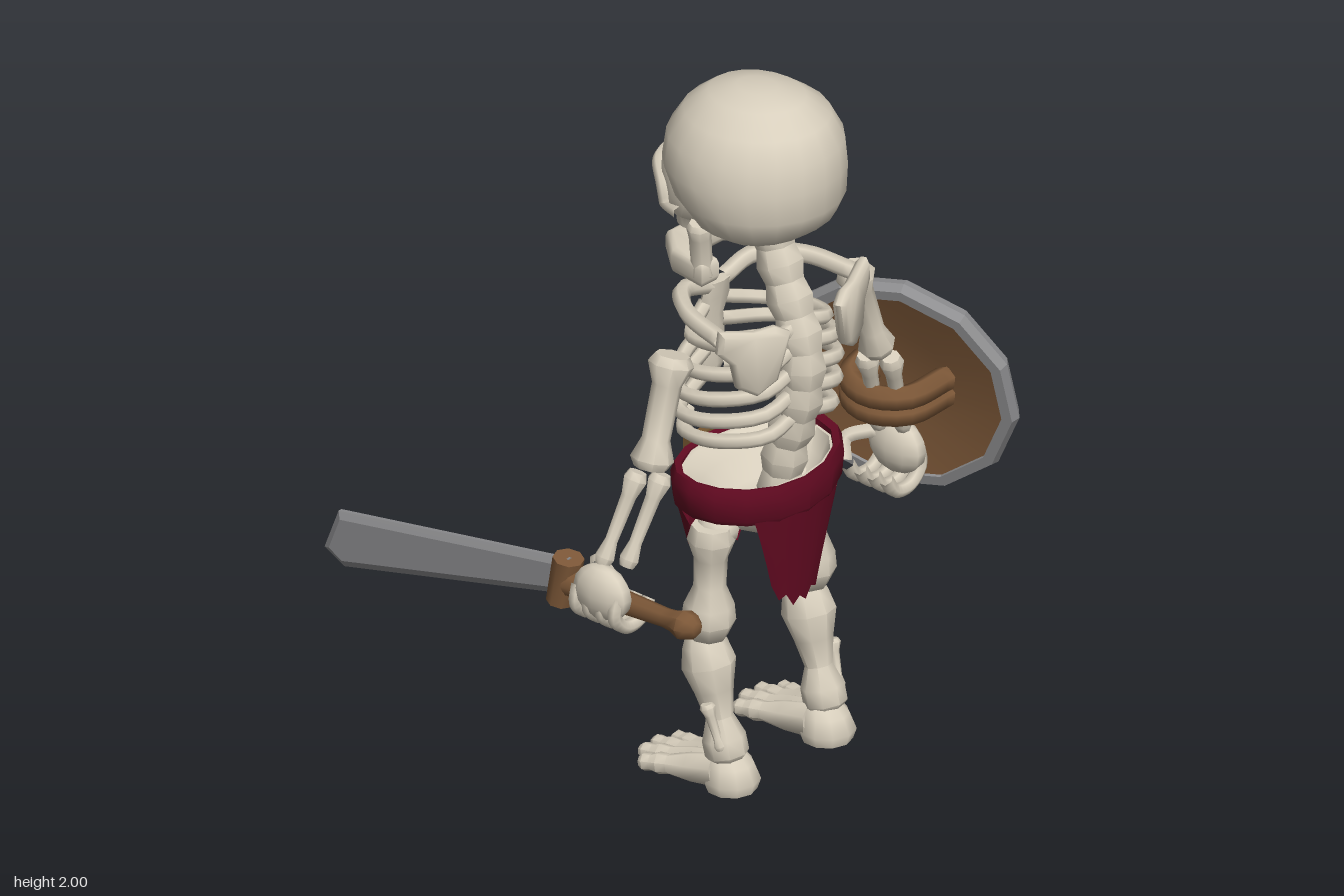
import * as THREE from 'three';
import { toCreasedNormals } from 'three/addons/utils/BufferGeometryUtils.js';

const V = (x, y, z) => new THREE.Vector3(x, y, z);
const paint = (name, color, side = THREE.FrontSide) => {
  const m = new THREE.MeshStandardMaterial({ color, side });
  m.name = name;
  return m;
};

export function createModel() {
  const bone = paint('bone', 0xd8cfbd), cloth = paint('cloth', 0x620a21, THREE.DoubleSide);
  const wood = paint('wood', 0x7d5838), steel = paint('steel', 0x8e8e90), iron = paint('iron', 0x363738);
  const brass = paint('brass', 0x755630), eyeRed = paint('eyeRed', 0x6c1020), black = paint('black', 0x1c1816);
  const root = new THREE.Group();
  const CX = -0.05; // the body's middle

  const add = (name, geo, mat, pos, crease = 0.9) => {
    const m = new THREE.Mesh(toCreasedNormals(geo, crease), mat);
    m.name = name;
    if (pos) m.position.copy(pos);
    root.add(m);
    return m;
  };
  const lathe = (pts, n = 8) => new THREE.LatheGeometry(pts.map(p => new THREE.Vector2(p[0], p[1])), n);

  // Turned shape running from point a to point b; profile rows are [fraction, radius]
  const turned = (name, a, b, profile, mat = bone, n = 8) => {
    const len = a.distanceTo(b);
    const m = add(name, lathe(profile.map(([t, r]) => [r, t * len]), n), mat, a);
    m.quaternion.setFromUnitVectors(V(0, 1, 0), b.clone().sub(a).normalize());
    return m;
  };
  // Long bone with a knob at each end
  const longBone = (name, a, b, r0, r1 = r0, shaft = 0.65) => turned(name, a, b, [
    [0, 0], [0, r0 * 0.75], [0.08, r0], [0.26, r0 * shaft], [0.74, r1 * shaft], [0.92, r1], [1, r1 * 0.75], [1, 0]]);
  // Elliptical sections stacked upwards; rows are [y, middle z, half width, half depth]
  const stack = (name, rows, mat, pos, n = 16) => {
    const r = [[rows[0][0], rows[0][1], 0, 1], ...rows, [rows.at(-1)[0], rows.at(-1)[1], 0, 1]];
    const geo = lathe(r.map(q => [q[2], q[0]]), n), p = geo.attributes.position;
    for (let i = 0; i < p.count; i++) {
      const q = r[i % r.length];
      p.setZ(i, q[1] + (q[2] ? p.getZ(i) * q[3] / q[2] : 0));
    }
    return add(name, geo, mat, pos, 1.1);
  };
  const tube = (name, pts, r, mat = bone, n = 6) => add(name,
    new THREE.TubeGeometry(new THREE.CatmullRomCurve3(pts), 16, r, n), mat, null, 1.2);
  const outline = pts => new THREE.Shape(pts.map(p => new THREE.Vector2(p[0], p[1])));
  const ball = (name, c, sx, sy, sz, mat = bone) => {
    const m = add(name, new THREE.SphereGeometry(1, 10, 8), mat, c, 1.2);
    m.scale.set(sx, sy, sz);
    return m;
  };

  // Skull
  const mid = V(CX, 0, 0);
  stack('cranium', [[1.61, 0.41, 0.16, 0.12], [1.64, 0.39, 0.205, 0.18], [1.70, 0.37, 0.232, 0.23],
    [1.78, 0.352, 0.243, 0.252], [1.86, 0.355, 0.23, 0.245], [1.93, 0.36, 0.19, 0.205],
    [1.98, 0.36, 0.12, 0.14], [2.0, 0.36, 0.05, 0.06]], bone, mid, 20);
  stack('face', [[1.53, 0.16, 0.07, 0.06], [1.58, 0.175, 0.08, 0.085], [1.615, 0.21, 0.125, 0.13], [1.635, 0.25, 0.18, 0.168],
    [1.68, 0.27, 0.19, 0.183], [1.74, 0.27, 0.19, 0.192], [1.80, 0.28, 0.175, 0.18], [1.85, 0.3, 0.15, 0.16]], bone, mid, 20);
  for (const s of [-1, 1]) {
    const at = (x, y, z) => V(CX + s * x, y, z);
    const eye = ball('eyeSocket', at(0.083, 1.685, 0.118), 0.056, 0.045, 0.018, eyeRed);
    eye.rotation.set(0, -s * 0.4, s * -0.2);
    tube('browRidge', [at(0, 1.725, 0.09), at(0.05, 1.74, 0.092), at(0.11, 1.735, 0.112), at(0.16, 1.7, 0.17), at(0.165, 1.655, 0.185)], 0.021);
    tube('cheekbone', [at(0.03, 1.63, 0.095), at(0.09, 1.632, 0.12), at(0.145, 1.64, 0.165), at(0.185, 1.65, 0.25)], 0.02);
    longBone('jawHinge', at(0.145, 1.46, 0.295), at(0.175, 1.64, 0.31), 0.034, 0.036, 0.85);
  }
  const nose = add('noseHole', new THREE.ExtrudeGeometry(outline([[-0.026, 0], [0, 0.012], [0.026, 0], [0, 0.06]]),
    { depth: 0.009, bevelEnabled: false }), black, V(CX, 1.615, 0.073));
  nose.rotation.x = -0.05;
  // Lower jaw: a horseshoe seen from above, with a chin
  const jaw = add('lowerJaw', new THREE.ExtrudeGeometry(outline([[-0.165, 0.31], [-0.15, 0.21], [-0.085, 0.135], [0.085, 0.135],
    [0.15, 0.21], [0.165, 0.31], [0.13, 0.31], [0.11, 0.23], [0.06, 0.175], [-0.06, 0.175], [-0.11, 0.23], [-0.13, 0.31]]),
  { depth: 0.035, bevelSize: 0.018, bevelThickness: 0.02, bevelSegments: 2 }), bone, V(CX, 1.5, 0), 1.1);
  jaw.rotation.x = Math.PI / 2;
  ball('chin', V(CX, 1.465, 0.14), 0.075, 0.037, 0.035);

  // Spine
  const spine = new THREE.CatmullRomCurve3([[1.64, 0.40], [1.5, 0.44], [1.4, 0.48], [1.25, 0.525], [1.1, 0.51], [0.95, 0.46], [0.78, 0.44]]
    .map(([y, z]) => V(CX, y, z)));
  for (let i = 0; i < 9; i++) turned('vertebra', spine.getPointAt(i / 9), spine.getPointAt((i + 1) / 9),
    [[-0.08, 0], [-0.08, 0.052], [0.5, 0.066], [1.08, 0.052], [1.08, 0]], bone, 7);

  // Rib cage, shoulder blades and collar bones
  stack('breastbone', [[1.08, 0.2, 0.02, 0.012], [1.11, 0.195, 0.05, 0.022], [1.18, 0.195, 0.052, 0.024], [1.26, 0.2, 0.036, 0.022],
    [1.32, 0.21, 0.055, 0.022], [1.37, 0.22, 0.045, 0.02]], bone, mid, 8);
  for (const s of [-1, 1]) {
    const at = (x, y, z) => V(CX + s * x, y, z);
    for (let i = 0; i < 5; i++) {
      const y = 1.34 - i * 0.068, w = [0.165, 0.21, 0.228, 0.222, 0.2][i];
      const pts = [at(0.03, y, 0.51), at(w * 0.65, y - 0.02, 0.51), at(w, y - 0.05, 0.38), at(w * 0.85, y - 0.07, 0.25)];
      pts.push(i < 4 ? at(0.03, y - 0.04, 0.2) : at(w * 0.5, y - 0.06, 0.2));
      tube('rib', pts, 0.021);
    }
    const blade = add('shoulderBlade', new THREE.ExtrudeGeometry(outline([[0.115, 0.15], [0.15, 0.17], [0.21, 0.165], [0.3, 0.185], [0.305, 0.14],
      [0.265, 0.1], [0.25, 0.03], [0.2, 0], [0.15, 0.03]].map(([x, y]) => [s * x, y])),
    { depth: 0.015, bevelSize: 0.012, bevelThickness: 0.012, bevelSegments: 1 }), bone, at(0, 1.215, 0.595), 1.1);
    blade.rotation.y = s * 0.4;
    tube('collarBone', [at(0.03, 1.36, 0.21), at(0.14, 1.39, 0.22), at(0.23, 1.39, 0.32), at(0.265, 1.375, 0.47)], 0.025);
  }

  // Arms: shoulder, elbow and wrist for each side
  const arms = [[V(-0.43, 1.355, 0.40), V(-0.52, 1.05, 0.40), V(-0.63, 0.79, 0.37), 0.063],
    [V(0.255, 1.355, 0.43), V(0.365, 1.06, 0.42), V(0.46, 0.78, 0.38), 0.055]];
  for (const [shoulder, elbow, wrist, r] of arms) {
    longBone('upperArm', shoulder, elbow, r, r * 0.95);
    for (const d of [-0.028, 0.028]) {
      longBone('forearm', elbow.clone().add(V(d * 0.6, -0.015, d)), wrist.clone().add(V(d * 0.6, 0, d)), 0.034, 0.028);
    }
    // Hand curling around the z direction
    const s = Math.sign(wrist.x);
    ball('palm', wrist.clone().add(V(s * 0.035, -0.07, -0.01)), 0.05, 0.08, 0.095);
    const centre = wrist.clone().add(V(s * -0.01, -0.1, 0));
    for (let i = 0; i < 4; i++) {
      const pts = [0.6, -0.3, -1.2, -2.1, -3].map(a => V(centre.x + s * 0.07 * Math.cos(a),
        centre.y + 0.065 * Math.sin(a), centre.z - 0.085 + i * 0.046));
      tube('finger', pts, 0.02);
    }
    tube('thumb', [wrist.clone().add(V(0, -0.03, -0.06)), wrist.clone().add(V(-s * 0.06, -0.05, -0.11)),
      wrist.clone().add(V(-s * 0.085, -0.1, -0.09))], 0.022);
  }

  // Sword
  const sword = add('swordBlade', new THREE.ExtrudeGeometry(outline([[-0.2, 0.64], [0.6, 0.44], [0.67, 0.475], [0.62, 0.6], [-0.2, 0.745]]),
    { depth: 0.012, bevelThickness: 0.012, bevelSize: 0.02, bevelOffset: -0.02, bevelSegments: 1 }), steel, V(-0.623, 0, 0), 0.2);
  sword.rotation.y = Math.PI / 2;
  const guard = add('swordGuard', new THREE.CylinderGeometry(0.056, 0.052, 0.14, 8), wood, V(-0.615, 0.675, 0.18));
  guard.rotation.x = 0.2;
  guard.scale.set(0.8, 1, 0.75);
  turned('swordGrip', V(-0.615, 0.675, 0.2), V(-0.628, 0.7, 0.665), [[0, 0], [0, 0.04], [0.25, 0.036], [0.75, 0.027],
    [0.82, 0.03], [0.9, 0.043], [0.96, 0.036], [1, 0.018], [1, 0]], wood);

  // Shield, built around its axis and then tilted
  const shield = new THREE.Group();
  shield.name = 'shield';
  root.add(shield);
  const disc = (name, pts, n, mat) => shield.add(add(name, lathe(pts, n), mat, null, 0.35));
  disc('shieldBoard', [[0, 0.018], [0.16, 0.004], [0.31, -0.025], [0.31, 0.005], [0.16, 0.022], [0, 0.03]], 12, wood);
  disc('shieldRim', [[0.31, -0.035], [0.34, -0.035], [0.352, -0.01], [0.34, 0.02], [0.31, 0.022], [0.31, -0.035]], 12, steel);
  disc('shieldBoss', [[0.105, 0.015], [0.1, 0.035], [0.055, 0.055], [0.05, 0.063], [0, 0.072]], 8, iron);
  shield.position.set(0.545, 0.87, 0.323);
  shield.quaternion.setFromUnitVectors(V(0, 1, 0), V(1, 0.24, -0.39).normalize());
  for (const dy of [-0.024, 0.024]) {
    tube('shieldStrap', [V(0.53, 0.9, 0.24), V(0.41, 0.89, 0.28), V(0.38, 0.88, 0.37), V(0.43, 0.88, 0.455), V(0.59, 0.88, 0.46)]
      .map(p => p.add(V(0, dy, 0))), 0.036, wood);
  }

  // Hollow pelvis and belt
  stack('pelvis', [[0.7, 0.39, 0.07, 0.06], [0.76, 0.38, 0.19, 0.1], [0.82, 0.37, 0.23, 0.15], [0.885, 0.365, 0.245, 0.17],
    [0.885, 0.365, 0.23, 0.155], [0.83, 0.37, 0.2, 0.13], [0.78, 0.38, 0.13, 0.08]], bone, mid);
  const beltGeo = lathe([[0.235, 0.795], [0.255, 0.78], [0.268, 0.795], [0.275, 0.86], [0.262, 0.89], [0.24, 0.885], [0.235, 0.795]], 16);
  const bp = beltGeo.attributes.position;
  for (let i = 0; i < bp.count; i++) bp.setY(i, bp.getY(i) + 0.3 * bp.getX(i) ** 2);
  add('belt', beltGeo, cloth, V(CX, 0, 0.36), 0.7).scale.z = 0.7;
  const frame = outline([[-0.055, -0.05], [0.055, -0.05], [0.055, 0.05], [-0.055, 0.05]]);
  frame.holes.push(outline([[-0.033, -0.03], [-0.033, 0.03], [0.033, 0.03], [0.033, -0.03]]));
  add('buckle', new THREE.ExtrudeGeometry(frame, { depth: 0.025, bevelEnabled: false }), brass, V(CX, 0.84, 0.145));

  // Torn cloth hanging from the belt; drops give the length of each column
  const hang = (name, middle, half, taper, drops) => {
    const n = drops.length - 1, geo = new THREE.PlaneGeometry(1, 1, n, 4), p = geo.attributes.position;
    for (let i = 0; i < p.count; i++) {
      const u = p.getX(i) * 2, v = 0.5 - p.getY(i), drop = drops[Math.round((u + 1) / 2 * n)];
      const a = middle + u * half * (1 - taper * v), k = 1 - 0.18 * v;
      p.setXYZ(i, CX + 0.262 * k * Math.sin(a), 0.82 - v * drop, 0.36 + 0.185 * k * Math.cos(a));
    }
    add(name, geo, cloth);
  };
  hang('backCloth', 0, 0.72, 0.36, [0.24, 0.29, 0.28, 0.32, 0.3, 0.32, 0.29, 0.3, 0.24]);
  hang('frontCloth', Math.PI, 0.74, 0.32, [0.2, 0.27, 0.25, 0.31, 0.28, 0.32, 0.28, 0.29, 0.22]);
  hang('sideCloth', Math.PI + 0.95, 0.28, 0.3, [0.1, 0.17, 0.13, 0.09]);

  // Legs and feet
  for (const s of [-1, 1]) {
    const at = (x, y, z) => V(-0.058 + s * x, y, z);
    ball('hipJoint', at(0.17, 0.75, 0.38), 0.06, 0.055, 0.06);
    turned('thighBone', at(0.2, 0.77, 0.385), at(0.2, 0.42, 0.37), [[0, 0], [0, 0.055], [0.12, 0.066], [0.28, 0.046],
      [0.52, 0.044], [0.68, 0.068], [0.82, 0.074], [0.96, 0.052], [1, 0]]);
    turned('shinBone', at(0.2, 0.44, 0.35), at(0.195, 0.08, 0.44), [[0, 0], [0, 0.045], [0.1, 0.062], [0.25, 0.075], [0.45, 0.054],
      [0.66, 0.038], [0.82, 0.06], [0.95, 0.06], [1, 0.04], [1, 0]]);
    longBone('calfBone', at(0.25, 0.26, 0.41), at(0.235, 0.13, 0.45), 0.022, 0.018);
    stack('heel', [[0, 0.445, 0.07, 0.07], [0.03, 0.445, 0.08, 0.08], [0.075, 0.44, 0.065, 0.065], [0.11, 0.43, 0.04, 0.04]], bone, at(0.19, 0, 0), 10);
    [[0.12, 0.18], [0.175, 0.155], [0.232, 0.16], [0.28, 0.2]].forEach(([x, z], i) => {
      const ankle = at(0.16 + i * 0.02, 0.055, 0.42), tip = at(x, 0.026, z);
      turned('toe', ankle, tip, [[0, 0], [0, 0.05], [0.35, 0.042], [0.62, 0.028], [0.75, 0.031], [0.85, 0.023],
        [0.94, 0.026], [1, 0.015], [1, 0]], bone, 7);
    });
  }
  return root;
}
